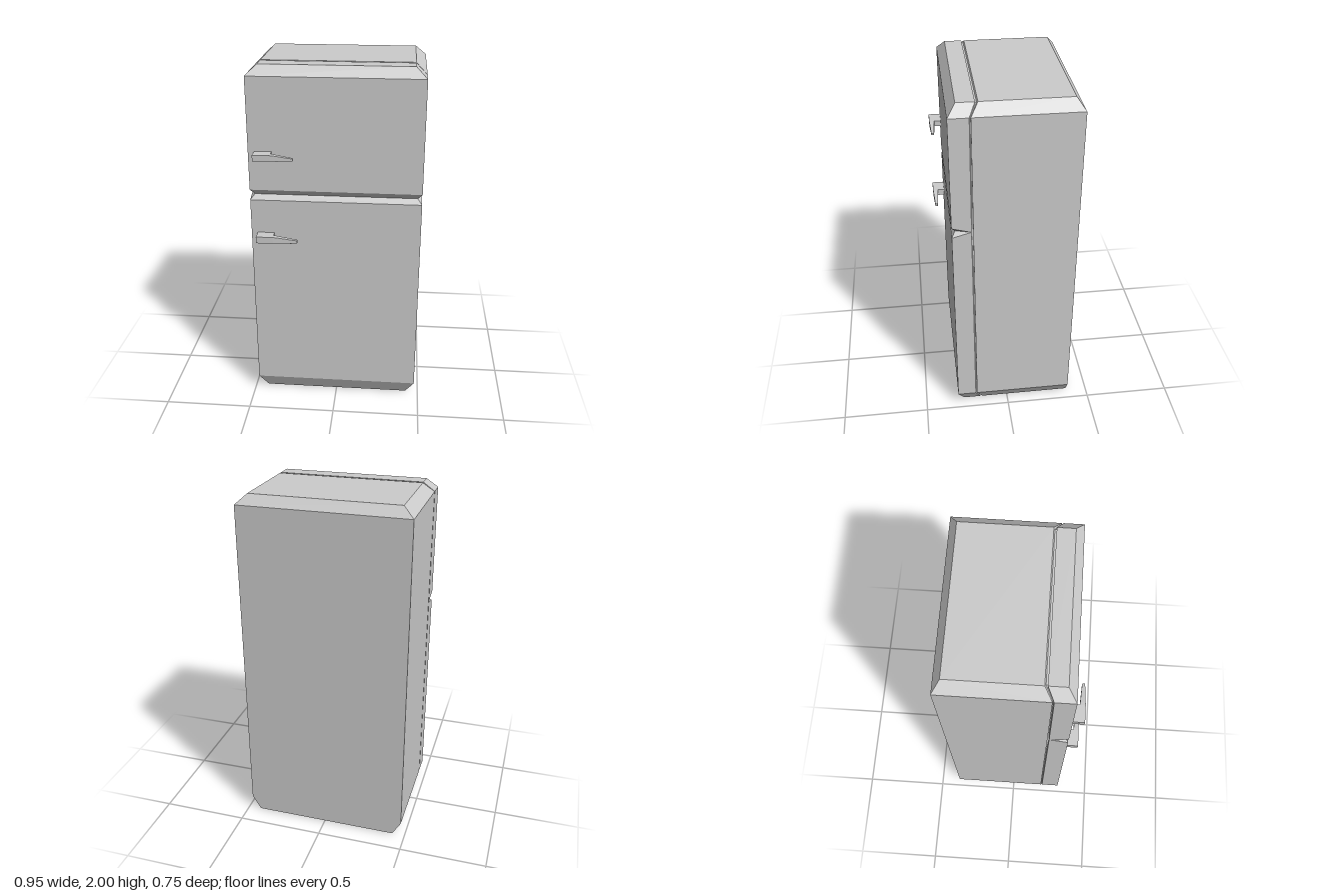
import * as THREE from 'three';
import { ConvexGeometry } from 'three/addons/geometries/ConvexGeometry.js';

const material = new THREE.MeshStandardMaterial({ color: 0xcccccc, flatShading: true });

// Faceted solid around a set of corner points
function solid(name, points) {
  const mesh = new THREE.Mesh(new ConvexGeometry(points), material);
  mesh.name = name;
  return mesh;
}

// Solid through horizontal rectangles [y, half width, back z, front z];
// extra corners [x, y, z] are mirrored left and right
function stack(name, levels, corners = []) {
  const points = [];
  for (const side of [-1, 1]) {
    for (const [y, halfWidth, back, front] of levels) {
      points.push(new THREE.Vector3(side * halfWidth, y, back), new THREE.Vector3(side * halfWidth, y, front));
    }
    for (const [x, y, z] of corners) points.push(new THREE.Vector3(side * x, y, z));
  }
  return solid(name, points);
}

// Solid through upright rectangles [x, bottom y, top y, back z, front z]
function bar(name, sections) {
  const points = [];
  for (const [x, bottom, top, back, front] of sections) {
    for (const y of [bottom, top]) {
      points.push(new THREE.Vector3(x, y, back), new THREE.Vector3(x, y, front));
    }
  }
  return solid(name, points);
}

// Door handle: a block on the door with a tapering lever
function handle(name, y, height, tip) {
  const group = new THREE.Group();
  group.name = name;
  const top = y + height;
  group.add(
    bar('handleMount', [
      [-0.44, y, top, 0.295, 0.373],
      [-0.345, y, top, 0.295, 0.373],
    ]),
    bar('handleLever', [
      [-0.345, y, top, 0.343, 0.373],
      [-0.33, y, top - 0.001, 0.344, 0.372],
      [tip - 0.005, y + 0.003, top - 0.017, 0.351, 0.367],
      [tip, y + 0.004, top - 0.018, 0.353, 0.365],
    ])
  );
  return group;
}

export function createModel() {
  const model = new THREE.Group();
  model.name = 'refrigerator';

  // Cabinet with chamfered top and sloping bottom sides
  model.add(stack('cabinet', [
    [0, 0.425, -0.375, 0.152],
    [0.085, 0.475, -0.375, 0.19],
    [1.945, 0.475, -0.375, 0.19],
    [2, 0.415, -0.333, 0.149],
  ]));

  // Recessed seal between cabinet and doors
  model.add(stack('doorSeal', [
    [0.008, 0.418, 0.1, 0.175],
    [0.087, 0.467, 0.1, 0.21],
    [1.943, 0.467, 0.1, 0.21],
    [1.992, 0.408, 0.1, 0.175],
  ]));

  // Doors, with bevels that meet in a notch
  const split = 1.285;
  const notch = [[0.475, split, 0.2], [0.45, split, 0.285]];
  model.add(stack('freezerDoor', [
    [1.945, 0.475, 0.198, 0.305],
    [2, 0.415, 0.164, 0.26],
  ], [...notch, [0.475, split + 0.03, 0.305]]));
  model.add(stack('fridgeDoor', [
    [0, 0.425, 0.167, 0.265],
    [0.085, 0.475, 0.198, 0.305],
  ], [...notch, [0.475, split - 0.03, 0.305]]));

  model.add(
    handle('freezerHandle', 1.504, 0.034, -0.222),
    handle('fridgeHandle', 1.022, 0.038, -0.21)
  );
  return model;
}
